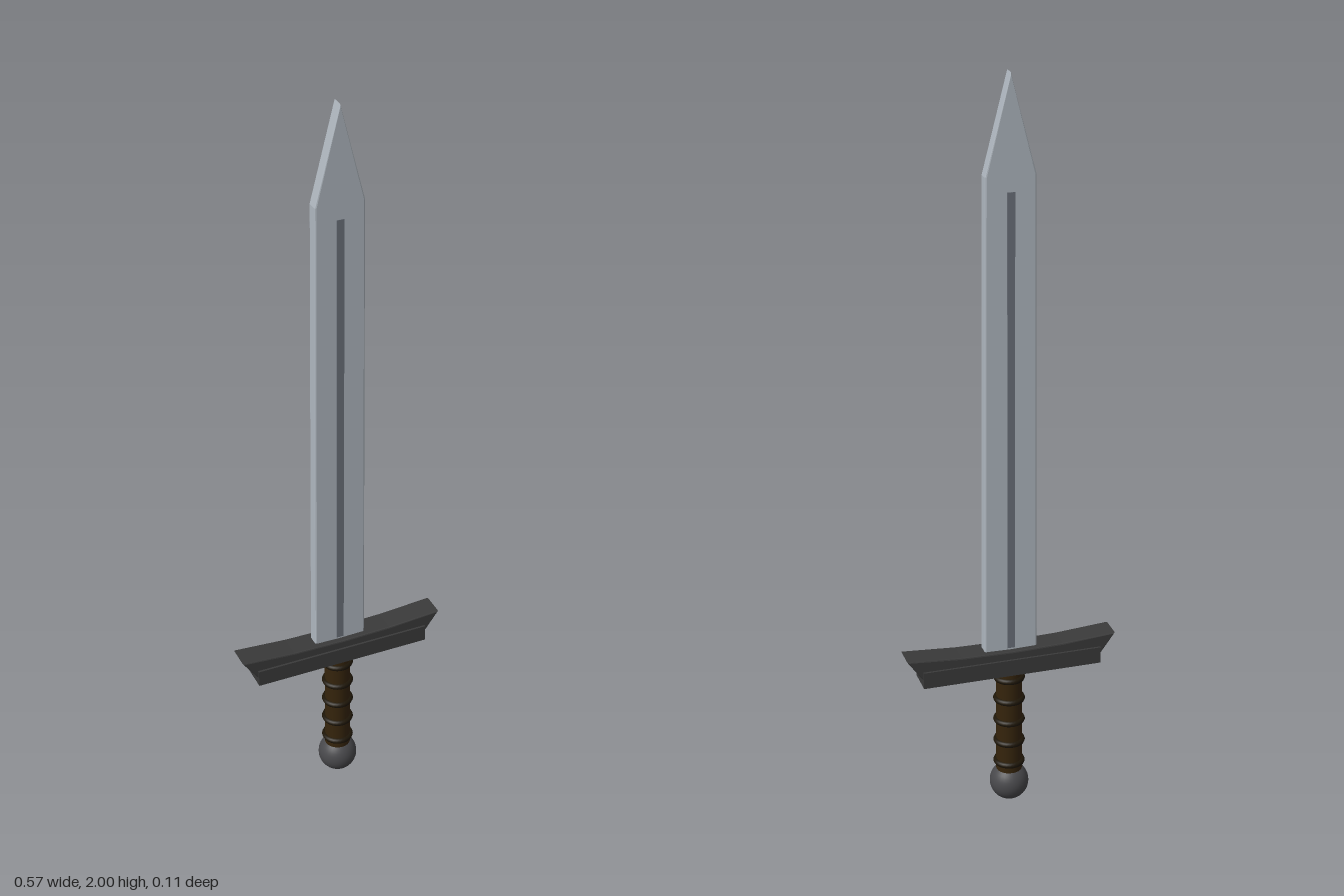
import * as THREE from 'three';

const mat = (name, color) => {
  const m = new THREE.MeshStandardMaterial({ color });
  m.name = name;
  return m;
};

// Extrudes an outline, centred on z, with a small bevel kept inside the outline
function slab(points, depth, bevel) {
  const shape = new THREE.Shape(points.map(([x, y]) => new THREE.Vector2(x, y)));
  const geo = new THREE.ExtrudeGeometry(shape, {
    depth: depth - 2 * bevel, bevelEnabled: true, bevelSize: bevel,
    bevelThickness: bevel, bevelOffset: -bevel, bevelSegments: 2,
  });
  return geo.translate(0, 0, bevel - depth / 2);
}

export function createModel() {
  const sword = new THREE.Group();
  sword.name = 'sword';
  const steel = mat('steel', 0xb0b8c0);
  const groove = mat('grooveGrey', 0x6c727b);
  const iron = mat('darkIron', 0x3a3a3a);
  const leather = mat('brownLeather', 0x35240c);
  const binding = mat('darkBinding', 0x1e1608);
  const pommelGrey = mat('pommelGrey', 0x48484b);

  const add = (name, geo, material, x = 0, y = 0, z = 0) => {
    const mesh = new THREE.Mesh(geo, material);
    mesh.name = name;
    mesh.position.set(x, y, z);
    sword.add(mesh);
    return mesh;
  };

  // Blade with a gentle taper and pointed tip
  add('blade', slab([
    [-0.072, 0.44], [0.072, 0.44], [0.069, 1.05], [0.065, 1.75],
    [0, 2], [-0.065, 1.75], [-0.069, 1.05],
  ], 0.035, 0.004), steel);

  // Thin fuller strips on both faces
  for (const side of [-1, 1]) {
    add('fuller', new THREE.BoxGeometry(0.02, 1.24, 0.004), groove, 0, 1.09, side * 0.017);
  }

  // Crossguard: flared bar with a dished top, and a wider lower block
  add('crossguard', slab([
    [-0.235, 0.405], [0.235, 0.405], [0.287, 0.478], [0.14, 0.468],
    [0, 0.465], [-0.14, 0.468], [-0.287, 0.478],
  ], 0.068, 0.004), iron);
  add('guardBlock', new THREE.BoxGeometry(0.49, 0.046, 0.08), iron, 0, 0.42, 0);

  // Grip with leather bindings
  add('grip', new THREE.CylinderGeometry(0.035, 0.035, 0.33, 24), leather, 0, 0.235, 0);
  for (let i = 0; i < 5; i++) {
    const ring = add('gripRing', new THREE.TorusGeometry(0.035, 0.008, 8, 28), binding, 0, 0.117 + i * 0.0645, 0);
    ring.rotation.x = Math.PI / 2;
  }

  // Pommel
  add('pommel', new THREE.SphereGeometry(0.053, 32, 20), pommelGrey, 0, 0.053, 0);

  return sword;
}
